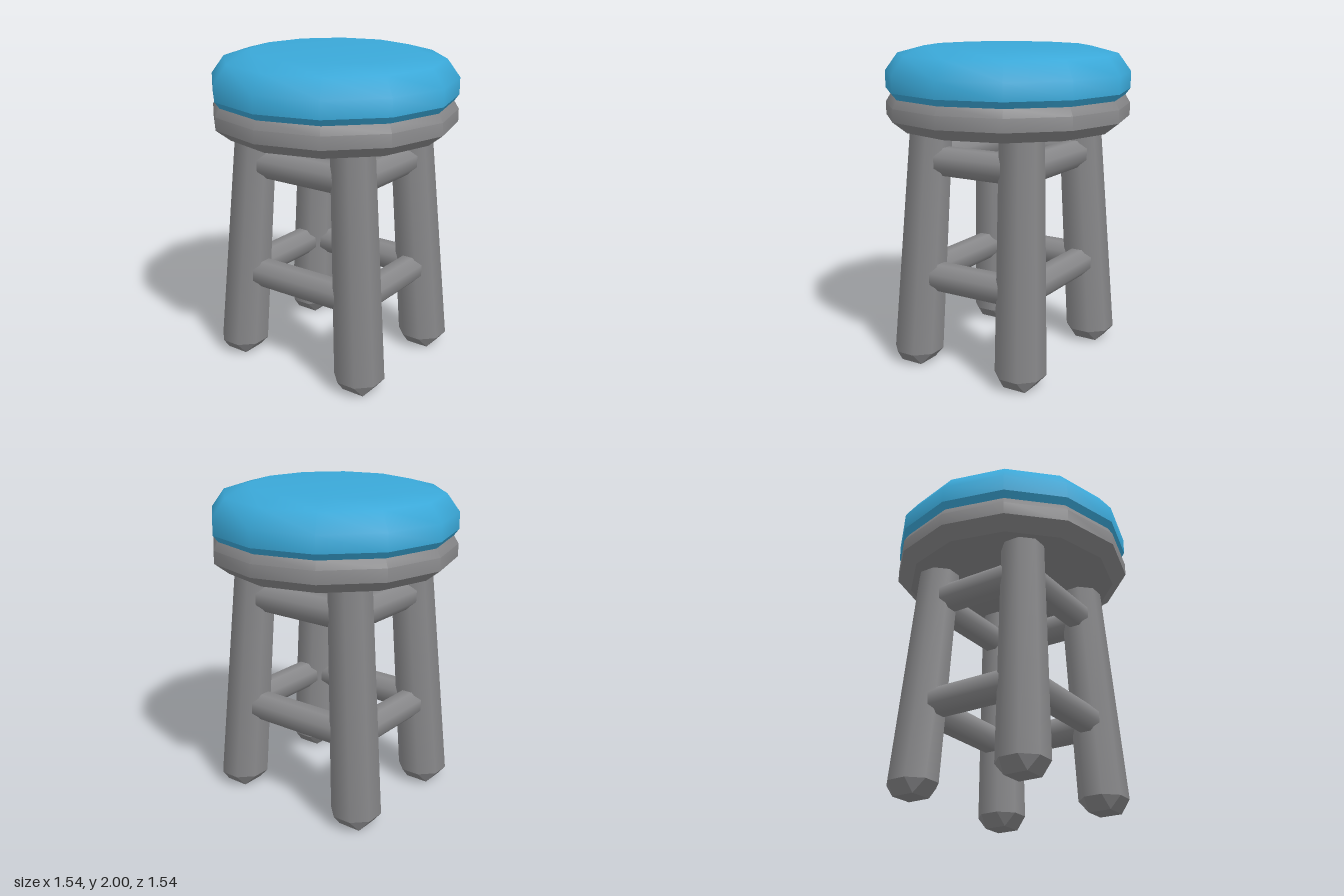
import * as THREE from 'three';
import { toCreasedNormals } from 'three/addons/utils/BufferGeometryUtils.js';

const SHOULDER = 0.08; // height where the leg foot begins
const LEG_TOP = 1.52;

// centre of a leg at a given height (legs lean inwards going up)
const legX = (y) => 0.387 - 0.04 * y;
const legZ = (y) => 0.472 - 0.07 * y;

// lathed twelve-sided ring or disc from [radius, height] pairs
function lathe(points) {
  return new THREE.LatheGeometry(points.map(([r, y]) => new THREE.Vector2(r, y)), 12);
}

// eight-sided bar with flats facing the axes; sizes are half-widths across flats
function bar(top, bottom, length, open) {
  const k = 1 / Math.cos(Math.PI / 8);
  return new THREE.CylinderGeometry(top * k, bottom * k, length, 8, 1, open).rotateY(Math.PI / 8);
}

// move each vertex sideways to follow the lean of a leg
function lean(geometry, sx, sz) {
  const p = geometry.attributes.position;
  for (let i = 0; i < p.count; i++) {
    const y = p.getY(i);
    p.setX(i, p.getX(i) + sx * legX(y));
    p.setZ(i, p.getZ(i) + sz * legZ(y));
  }
  return geometry;
}

export function createModel() {
  const group = new THREE.Group();
  group.name = 'stool';
  const blue = new THREE.MeshStandardMaterial({ color: 0x3aa8d8 });
  blue.name = 'blue cushion';
  const grey = new THREE.MeshStandardMaterial({ color: 0x88888a });
  grey.name = 'grey frame';

  function add(parent, name, geometry, material) {
    const mesh = new THREE.Mesh(geometry, material);
    mesh.name = name;
    parent.add(mesh);
    return mesh;
  }

  // cushion: smooth padded body over a narrower lower rim
  add(group, 'cushion', lathe([[0.77, 1.74], [0.77, 1.845], [0.69, 1.955], [0.52, 2], [0, 2]]), blue);
  add(group, 'cushionRim', lathe([[0.74, 1.7], [0.77, 1.74]]), blue);

  // seat base
  const base = lathe([[0, 1.5], [0.68, 1.5], [0.77, 1.57], [0.77, 1.65], [0.74, 1.7], [0, 1.7]]);
  add(group, 'seatBase', toCreasedNormals(base, 0.53), grey);

  // legs with feet that narrow to a square sole
  for (const sx of [1, -1]) {
    for (const sz of [1, -1]) {
      const leg = new THREE.Group();
      leg.name = (sz > 0 ? 'front' : 'back') + (sx > 0 ? 'Left' : 'Right') + 'Leg';
      group.add(leg);

      const length = LEG_TOP - SHOULDER;
      const shaft = bar(0.125, 0.147, length, true).translate(0, SHOULDER + length / 2, 0);
      add(leg, 'legShaft', lean(shaft, sx, sz), grey);

      const foot = bar(0.147, 0.075, SHOULDER, false).translate(0, SHOULDER / 2, 0);
      const p = foot.attributes.position;
      for (let i = 0; i < p.count; i++) {
        const x = p.getX(i), z = p.getZ(i);
        if (p.getY(i) < 0.01 && Math.hypot(x, z) > 0.01) {
          p.setXYZ(i, Math.sign(x) * 0.075, 0, Math.sign(z) * 0.075);
        }
      }
      const flatFoot = lean(foot, sx, sz).toNonIndexed();
      flatFoot.computeVertexNormals();
      add(leg, 'foot', flatFoot, grey);
    }
  }

  // two levels of rungs joining the leg centres on all four sides
  for (const [level, y] of [['lower', 0.575], ['upper', 1.31]]) {
    const x = legX(y), z = legZ(y);
    for (const s of [1, -1]) {
      const across = bar(0.0875, 0.0875, 2 * x, true).rotateZ(Math.PI / 2).translate(0, y, s * z);
      add(group, level + (s > 0 ? 'Front' : 'Back') + 'Rung', across, grey);
      const along = bar(0.0875, 0.0875, 2 * z, true).rotateX(Math.PI / 2).translate(s * x, y, 0);
      add(group, level + (s > 0 ? 'Left' : 'Right') + 'Rung', along, grey);
    }
  }
  return group;
}
